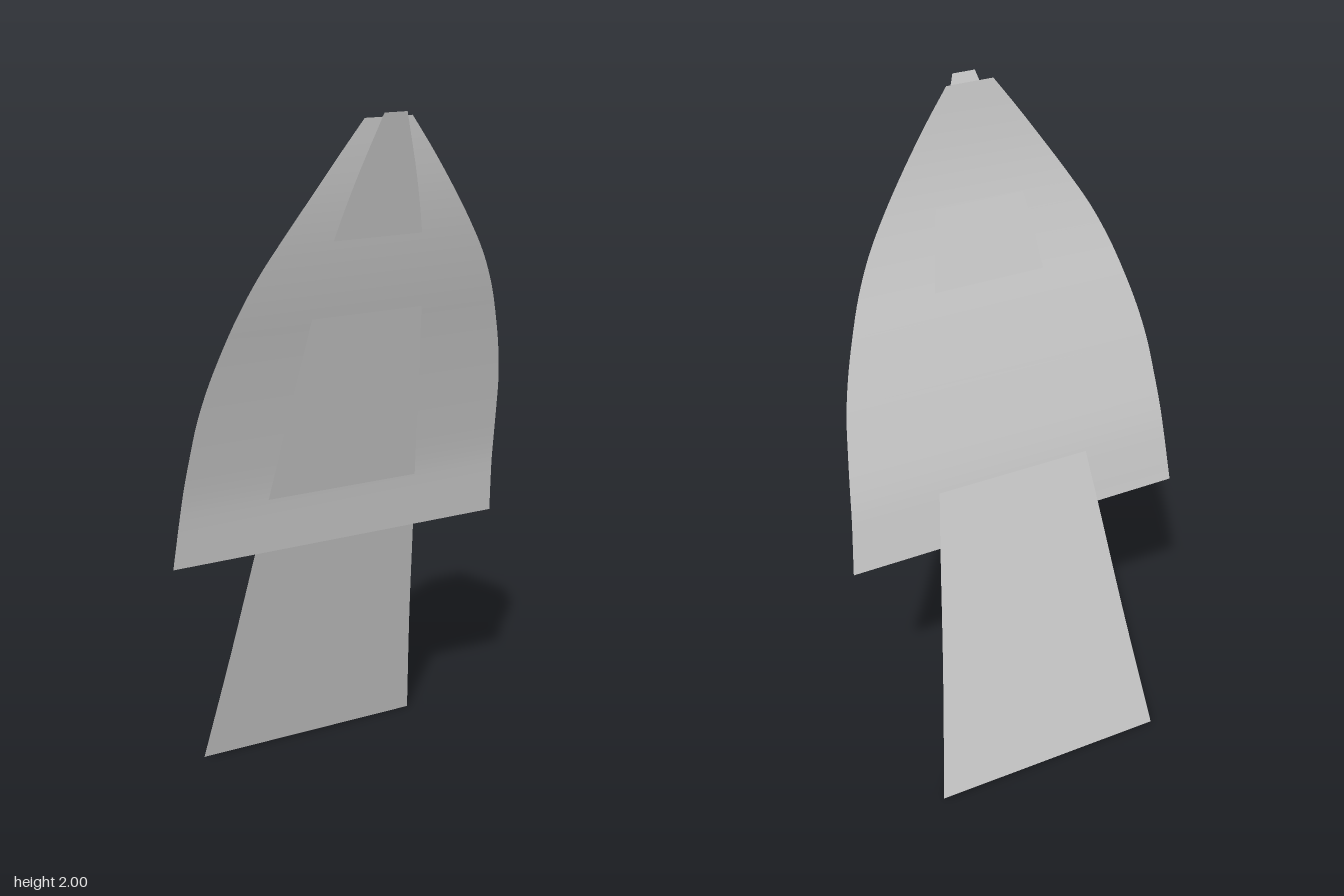
import * as THREE from 'three';

const grey = new THREE.MeshStandardMaterial({ color: 0xcccccc, side: THREE.DoubleSide });
grey.name = 'pale grey';

// Sheet lofted through rows of [height, half width, depth]
function sheet(name, rows, steps) {
  const edge = new THREE.CatmullRomCurve3(rows.map(([y, w, z]) => new THREE.Vector3(w, y, z)), false, 'centripetal');
  const geo = new THREE.PlaneGeometry(2, 2, 1, steps);
  const pos = geo.attributes.position;
  for (let i = 0; i < pos.count; i++) {
    const p = edge.getPoint((pos.getY(i) + 1) / 2);
    pos.setXYZ(i, pos.getX(i) * p.x, p.y, p.z);
  }
  geo.computeVertexNormals();
  const mesh = new THREE.Mesh(geo, grey);
  mesh.name = name;
  return mesh;
}

export function createModel() {
  const model = new THREE.Group();
  model.name = 'crossedSheets';

  // Long flat leaning blade, tapering to a narrow tip
  const blade = [
    [0, 0.357], [0.4, 0.30], [0.75, 0.255], [0.92, 0.232], [1.3, 0.184],
    [1.64, 0.135], [1.82, 0.09], [2, 0.032],
  ].map(([y, w]) => [y, w, 0.27 * (y - 1)]);
  model.add(sheet('flatBlade', blade, 28));

  // Wide arched sheet with a gentle S-shaped bend through the blade
  model.add(sheet('curvedSheet', [
    [0.75, 0.51, -0.05], [0.92, 0.494, -0.0216], [1.0, 0.487, -0.004], [1.1, 0.476, 0.022],
    [1.2, 0.463, 0.049], [1.3, 0.441, 0.077], [1.4, 0.411, 0.106], [1.5, 0.375, 0.136],
    [1.6, 0.328, 0.1635], [1.7, 0.267, 0.188], [1.8, 0.20, 0.208], [1.9, 0.13, 0.223],
    [1.985, 0.067, 0.233],
  ], 48));
  return model;
}
